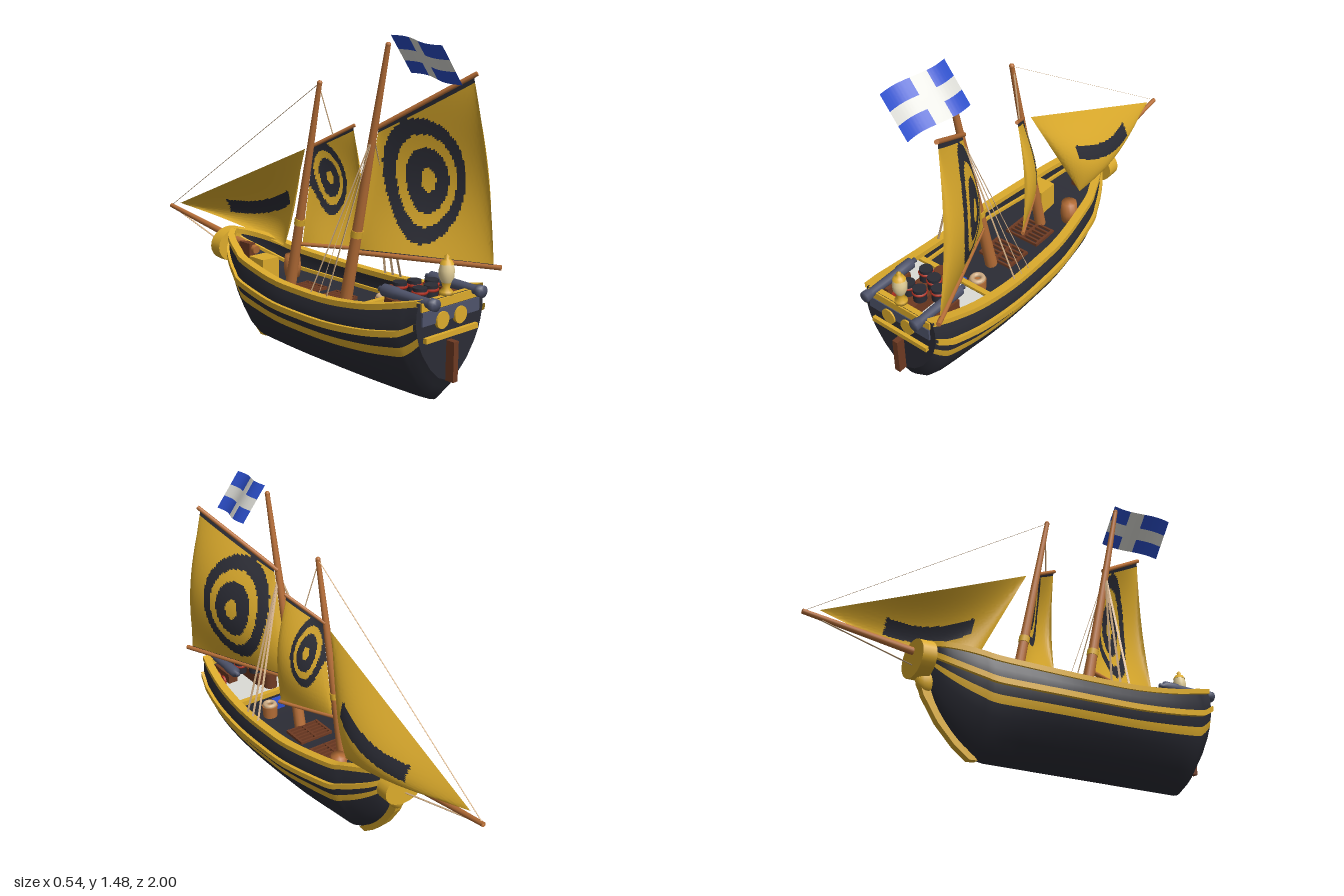
import * as THREE from 'three';
import { toCreasedNormals } from 'three/addons/utils/BufferGeometryUtils.js';

const mat = (name, color, side = THREE.FrontSide) => {
  const m = new THREE.MeshStandardMaterial({ color, side });
  m.name = name;
  return m;
};
const V = (x, y, z) => new THREE.Vector3(x, y, z);

export function createModel() {
  const ship = new THREE.Group();
  ship.name = 'sailingShip';
  const D = THREE.DoubleSide;
  const yellow = mat('yellow', 0xdcab2c, D), black = mat('black', 0x2b2c35, D);
  const wood = mat('wood', 0xb66e37), darkWood = mat('darkWood', 0x6e3a22);
  const steel = mat('steel', 0x4e536a), white = mat('white', 0xdcdcd6, D);
  const blue = mat('blue', 0x2c4fcb, D), red = mat('red', 0xb03020);
  const rope = mat('rope', 0xd0ad84), cream = mat('cream', 0xeed9a0);

  const add = (name, geo, material, x = 0, y = 0, z = 0) => {
    const m = new THREE.Mesh(geo, material);
    m.name = name;
    m.position.set(x, y, z);
    ship.add(m);
    return m;
  };
  const box = (name, m, w, h, d, x, y, z) => add(name, new THREE.BoxGeometry(w, h, d), m, x, y, z);
  const span = (mesh, a, b) => {
    mesh.position.copy(a).add(b).multiplyScalar(0.5);
    mesh.quaternion.setFromUnitVectors(V(0, 1, 0), b.clone().sub(a).normalize());
  };
  const rod = (name, m, a, b, r0, r1 = r0) =>
    span(add(name, new THREE.CylinderGeometry(r1, r0, a.distanceTo(b), 12), m), a, b);
  // Flat rope, w wide across and d deep fore and aft
  const ribbon = (name, a, b, w, d) => span(add(name, new THREE.BoxGeometry(w, a.distanceTo(b), d), rope), a, b);
  // Surface from a grid of points; pick() chooses the material of each cell
  const grid = (name, nu, nv, point, mats, pick = () => 0) => {
    const pos = [], lists = mats.map(() => []);
    for (let i = 0; i <= nu; i++) for (let j = 0; j <= nv; j++) pos.push(...point(i, j).toArray());
    for (let i = 0; i < nu; i++) for (let j = 0; j < nv; j++) {
      const a = i * (nv + 1) + j, b = a + nv + 1;
      lists[pick(i, j)].push(a, b, a + 1, b, b + 1, a + 1);
    }
    const geo = new THREE.BufferGeometry();
    geo.setAttribute('position', new THREE.Float32BufferAttribute(pos, 3));
    geo.setIndex(lists.flat());
    let start = 0;
    lists.forEach((l, k) => { geo.addGroup(start, l.length, k); start += l.length; });
    return add(name, toCreasedNormals(geo, 0.7), mats);
  };

  // Hull stations from bow to stern: z, half beam, keel height, sheer height
  const stations = [
    [-0.45, 0.012, 0.42, 0.48], [-0.43, 0.035, 0.3, 0.475], [-0.39, 0.08, 0.2, 0.465],
    [-0.32, 0.122, 0.105, 0.45], [-0.24, 0.158, 0.035, 0.43], [-0.16, 0.186, 0, 0.41],
    [0.1, 0.236, 0, 0.385], [0.3, 0.249, 0, 0.38], [0.5, 0.252, 0, 0.385], [0.7, 0.243, 0, 0.41],
    [0.85, 0.222, 0, 0.445], [0.9, 0.21, 0.035, 0.458], [0.945, 0.199, 0.11, 0.47]];
  const spline = (f) => new THREE.CatmullRomCurve3(stations.map(f), false, 'catmullrom');
  const beamLine = spline(s => V(s[0], s[1], s[3])), keelLine = spline(s => V(s[0], s[2], 0));
  const N = 48;
  const ribs = Array.from({ length: N + 1 }, (_, i) => {
    const p = beamLine.getPoint(i / N), k = keelLine.getPoint(i / N);
    return { z: p.x, w: p.y, s: p.z, k: Math.max(0, k.y) };
  });
  // Cross-section as fractions of beam and height, keel to sheer
  const section = [[0, 0], [0.3, 0.07], [0.55, 0.2], [0.79, 0.39], [0.9, 0.52], [0.95, 0.61],
    [1, 0.75], [0.99, 0.88], [0.925, 1]];
  const around = [...section.slice(1).reverse(), ...section.map(([x, y]) => [-x, y])];
  const hullPoint = (r, [fx, fy]) => V(fx * r.w, r.k + fy * (r.s - r.k), r.z);
  grid('hull', N, around.length - 1, (i, j) => hullPoint(ribs[i], around[j]),
    [black, yellow], (i, j) => (j === 3 || j === around.length - 5 ? 1 : 0));
  const outline = around.map(f => hullPoint(ribs[N], f)).map(p => new THREE.Vector2(p.x, p.y));
  add('transom', new THREE.ShapeGeometry(new THREE.Shape(outline)), black, 0, 0, 0.945);

  // Rails along both sides
  const rail = (name, f, out, inn, lo, hi) => [1, -1].forEach(s => grid(name, N, 4, (i, j) => {
    const p = hullPoint(ribs[i], f), c = j % 4;
    const x = Math.max(0, p.x + (c < 2 ? out : -inn));
    return V(s * x, p.y + (c === 1 || c === 2 ? lo : hi), p.z);
  }, [yellow]));
  rail('topRail', section[8], 0.014, 0.026, -0.012, 0.012);
  rail('sideRail', section[6], 0.016, 0.012, -0.014, 0.012);

  // Decks
  const deck = (name, m, z0, z1, fx, height) => {
    const rs = ribs.filter(r => r.z >= z0 && r.z <= z1);
    grid(name, rs.length - 1, 1, (i, j) => V((j ? -1 : 1) * fx * rs[i].w, height(rs[i]), rs[i].z), [m]);
  };
  deck('mainDeck', black, -0.44, 0.62, 0.96, r => r.k + 0.74 * (r.s - r.k));
  deck('sternDeck', white, 0.58, 0.945, 0.95, () => 0.365);
  box('sternBulkhead', black, 0.46, 0.09, 0.015, 0, 0.32, 0.595);
  box('deckBeam', yellow, 0.44, 0.025, 0.025, 0, 0.365, 0.59);
  for (const z0 of [0.0, 0.2]) {
    for (let i = 0; i < 6; i++) box('gratingSlat', darkWood, 0.17, 0.012, 0.01, -0.005, 0.295, z0 + i * 0.025);
    for (const x of [-0.09, -0.005, 0.08]) box('gratingFrame', darkWood, 0.012, 0.014, 0.135, x, 0.295, z0 + 0.0625);
  }

  // Stem, bow disc and bowsprit
  const stem = new THREE.Shape([[-0.19, 0.004], [-0.23, 0.002], [-0.3, 0.055], [-0.38, 0.14], [-0.45, 0.25], [-0.48, 0.34],
    [-0.47, 0.44], [-0.42, 0.42], [-0.41, 0.29], [-0.36, 0.19], [-0.28, 0.1]].map(p => new THREE.Vector2(-p[0], p[1])));
  add('stem', new THREE.ExtrudeGeometry(stem, { depth: 0.036, bevelEnabled: false }), yellow, -0.018).rotation.y = Math.PI / 2;
  add('stemHead', new THREE.SphereGeometry(0.045, 14, 10), yellow, 0, 0.315, -0.435).scale.set(0.8, 1.2, 1);
  const disc = add('bowDisc', new THREE.CylinderGeometry(0.11, 0.11, 0.065, 24), yellow, 0, 0.407, -0.467);
  disc.rotation.x = Math.PI / 2;
  disc.scale.z = 0.76;
  const tip = V(0, 0.513, -0.995);
  rod('bowsprit', wood, V(0, 0.41, -0.28), tip, 0.02, 0.011);
  box('bowspritBitt', darkWood, 0.035, 0.12, 0.08, -0.01, 0.38, -0.34);

  // Masts with collars
  const mast = (name, base, top, r, collarT) => {
    rod(name, wood, base, top, r, 0.011);
    const at = base.clone().lerp(top, collarT), up = top.clone().sub(base).normalize();
    rod(name + 'Collar', yellow, at, at.clone().addScaledVector(up, 0.03), r - 0.002);
    add(name + 'Cap', new THREE.SphereGeometry(0.012, 10, 8), wood, top.x, top.y, top.z);
  };
  const foreTop = V(-0.008, 1.25, 0.175);
  mast('mainMast', V(-0.008, 0.285, 0.347), V(-0.008, 1.435, 0.585), 0.029, 0.28);
  mast('foreMast', V(-0.008, 0.285, -0.022), foreTop, 0.027, 0.32);

  // Sails: four corners (top fore, top aft, bottom fore, bottom aft) with a billow
  const sail = (name, [tf, ta, bf, ba], billow, dark, n = 64) => {
    const P = (i, j) => {
      const u = Math.min(1, i / n), v = Math.min(1, j / n);
      const p = tf.clone().lerp(ta, u).lerp(bf.clone().lerp(ba, u), v);
      p.x += Math.sin(Math.PI * v) * (0.025 * u + billow * Math.sqrt(Math.max(0, Math.sin(Math.PI * u))));
      return p;
    };
    grid(name, n, n, P, [yellow, black], (i, j) => (dark(P(i + 0.5, j + 0.5), (j + 0.5) / n) ? 1 : 0));
  };
  const target = (zc, yc, a, b) => (p, v) => {
    const r = Math.hypot((p.z - zc) / a, (p.y - yc) / b);
    return v < 0.025 || v > 0.98 || (r < 1 && r > 0.74) || (r < 0.53 && r > 0.19);
  };
  sail('mainSail', [V(0.01, 1.085, 0.52), V(0.2, 1.315, 0.86), V(0.01, 0.54, 0.41), V(0.245, 0.54, 0.96)],
    0.075, target(0.65, 0.865, 0.145, 0.27));
  sail('foreSail', [V(0.008, 0.965, 0.12), V(0.1, 1.06, 0.275), V(0.008, 0.5, 0.045), V(0.135, 0.505, 0.295)],
    0.055, target(0.145, 0.815, 0.055, 0.175));
  const clew = V(0.1, 0.43, -0.19);
  sail('jib', [V(0.005, 0.945, 0.065), V(0.005, 0.537, -0.92), clew, clew], 0.07, p => {
    const t = (-0.16 - p.z) / 0.44;
    return t > 0 && t < 1 && Math.abs(p.y - (0.645 - 0.11 * t + 0.03 * (2 * t - 1) ** 2)) < 0.034;
  });
  rod('mainGaff', wood, V(0, 1.08, 0.5), V(0.207, 1.327, 0.872), 0.01);
  rod('mainBoom', wood, V(0, 0.535, 0.4), V(0.262, 0.54, 0.985), 0.011);
  rod('foreGaff', wood, V(0, 0.96, 0.11), V(0.103, 1.067, 0.283), 0.008);
  rod('foreBoom', wood, V(0, 0.5, 0.03), V(0.142, 0.505, 0.3), 0.009);

  // Flag with a cross, tilted and waving
  grid('flag', 50, 30, (i, j) => {
    const u = i / 50, v = j / 30, wave = 0.014 * Math.sin(u * Math.PI * 2);
    return V(0.125 * v - 0.04 * u + wave, 1.475 - 0.16 * v - 0.025 * u + wave * 0.25, 0.59 + 0.31 * u);
  }, [blue, white], (i, j) => ((i >= 16 && i < 27) || (j >= 11 && j < 20) ? 1 : 0));

  // Rigging
  for (const s of [1, -1]) for (const z of [0.36, 0.41, 0.46])
    ribbon('shroud', V(-0.008, 1.06, 0.507), V(s * 0.232, 0.37, z), 0.0025, 0.01);
  ribbon('gaffLift', V(0, 1.22, 0.17), V(0.05, 1.02, 0.2), 0.003, 0.006);
  ribbon('foreStay', foreTop, tip, 0.005, 0.0006);
  ribbon('bobStay', tip, V(0, 0.37, -0.47), 0.01, 0.0015);

  // Stern fittings
  box('sternRail', yellow, 0.35, 0.035, 0.035, 0, 0.45, 0.935);
  box('sternPanel', steel, 0.34, 0.055, 0.008, 0, 0.4, 0.949);
  box('sternBar', yellow, 0.31, 0.022, 0.02, 0, 0.313, 0.952);
  for (const x of [-0.057, 0.05])
    add('sternPort', new THREE.CylinderGeometry(0.036, 0.036, 0.014, 20), yellow, x, 0.38, 0.953).rotation.x = Math.PI / 2;
  box('rudder', darkWood, 0.028, 0.17, 0.045, -0.004, 0.2, 0.963);
  const lathe = (pts) => new THREE.LatheGeometry(pts.map(p => new THREE.Vector2(...p)), 16);
  add('lanternBase', lathe([[0, 0.46], [0.028, 0.468], [0.028, 0.482], [0.014, 0.495], [0.021, 0.52]]), yellow, -0.005, 0, 0.925);
  add('lanternGlass', lathe([[0.019, 0.515], [0.031, 0.54], [0.032, 0.57], [0.026, 0.593]]), cream, -0.005, 0, 0.925);
  add('lanternCap', lathe([[0.029, 0.593], [0.02, 0.608], [0.008, 0.614], [0.011, 0.624], [0, 0.634]]), yellow, -0.005, 0, 0.925);

  // Stern guns on carriages with red wheels
  const barrel = [[0, 0], [0.012, 0.004], [0.01, 0.018], [0.026, 0.03], [0.026, 0.1], [0.022, 0.11],
    [0.019, 0.27], [0.025, 0.285], [0.025, 0.31], [0, 0.31]];
  for (const x of [-0.145, 0.135]) {
    add('gunBarrel', lathe(barrel), steel, x, 0.467, 0.69).rotation.x = Math.PI / 2;
    box('gunCarriage', darkWood, 0.05, 0.05, 0.14, x, 0.42, 0.82);
    for (const s of [-1, 1]) for (const z of [0.8, 0.85])
      add('gunWheel', new THREE.CylinderGeometry(0.024, 0.024, 0.012, 14), red, x + s * 0.03, 0.395, z).rotation.z = Math.PI / 2;
  }

  // Chest and banded pots on the stern deck
  box('sternChest', darkWood, 0.11, 0.06, 0.2, -0.03, 0.395, 0.79);
  for (const [x, z] of [[-0.055, 0.72], [0.01, 0.74], [-0.055, 0.83], [0.01, 0.83], [0.07, 0.78]]) {
    add('pot', new THREE.CylinderGeometry(0.03, 0.03, 0.06, 14), black, x, 0.455, z);
    add('potBand', new THREE.TorusGeometry(0.028, 0.007, 6, 16), red, x, 0.465, z).rotation.x = Math.PI / 2;
  }
  add('tillerPost', new THREE.CylinderGeometry(0.03, 0.035, 0.08, 14), darkWood, -0.03, 0.405, 0.655);

  // Deck cargo
  box('deckChest', yellow, 0.095, 0.13, 0.1, -0.085, 0.36, -0.12);
  add('deckBarrel', lathe([[0, 0], [0.034, 0], [0.042, 0.05], [0.036, 0.11], [0, 0.11]]), wood, 0.09, 0.295, -0.12);
  box('smallCrate', blue, 0.05, 0.04, 0.05, -0.015, 0.315, 0.56);
  add('cargoTub', new THREE.CylinderGeometry(0.04, 0.036, 0.06, 14), wood, 0.06, 0.315, 0.52);
  add('ropeCoil', new THREE.TorusGeometry(0.025, 0.012, 8, 16), rope, 0.06, 0.35, 0.52).rotation.x = Math.PI / 2;
  return ship;
}
